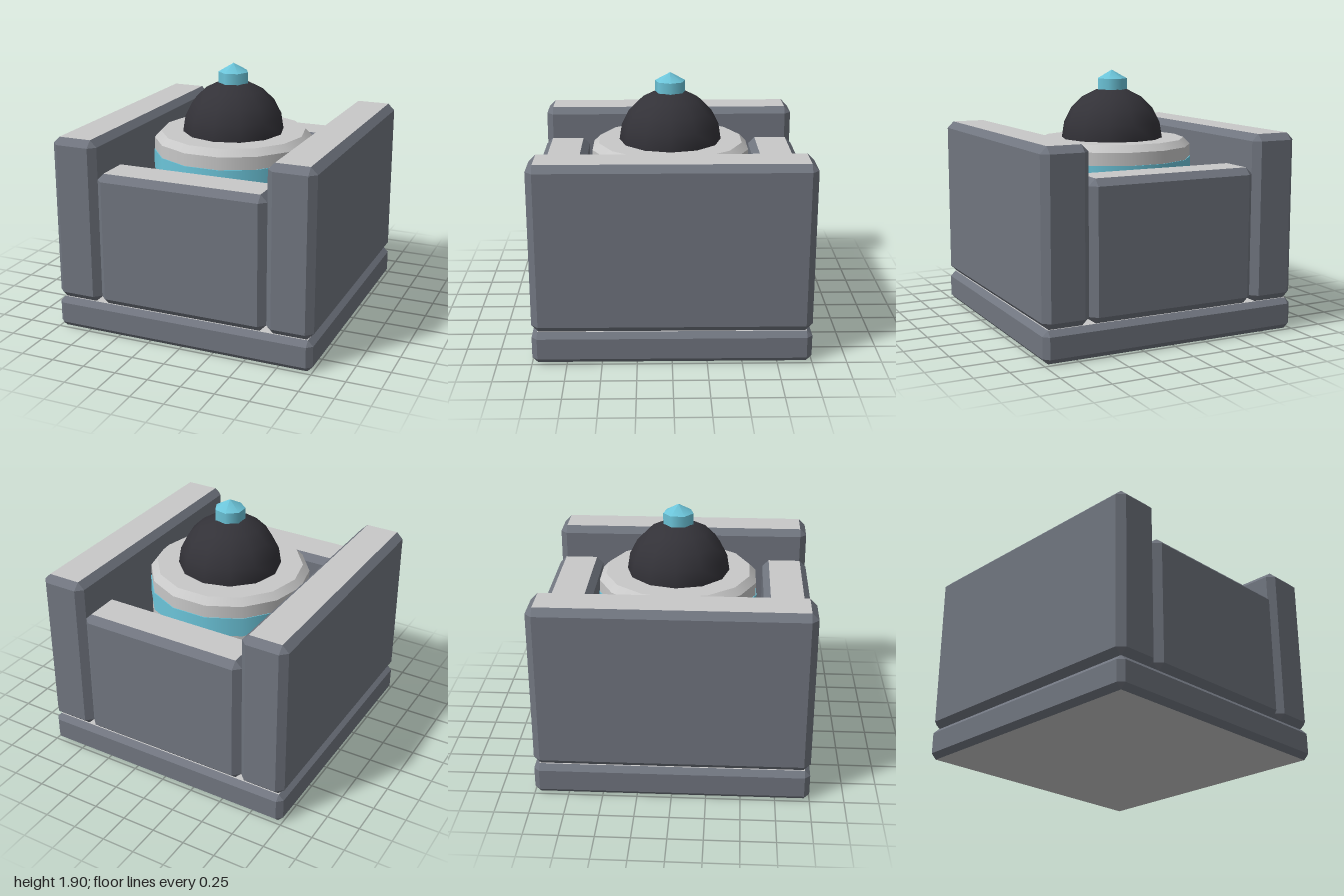
import * as THREE from 'three';

const paint = (name, color) => {
  const m = new THREE.MeshStandardMaterial({ color });
  m.name = name;
  return m;
};

export function createModel() {
  const grey = paint('slateGrey', 0x70757f);
  const light = paint('lightGrey', 0xc8c8c8);
  const cyan = paint('cyan', 0x6cc5da);
  const dark = paint('charcoal', 0x333238);
  const model = new THREE.Group();
  model.name = 'turretBlock';

  const add = (name, geometry, material, x = 0, y = 0, z = 0) => {
    const mesh = new THREE.Mesh(geometry, material);
    mesh.name = name;
    mesh.position.set(x, y, z);
    model.add(mesh);
    return mesh;
  };

  // Block chamfered on every edge, standing on y = 0: grey sides, light caps
  function chamferedBlock(width, height, depth, b) {
    const w = width / 2, d = depth / 2;
    const corners = [[1, 1], [1, -1], [-1, -1], [-1, 1]];
    const ring = (y, inset) => corners.flatMap(([sx, sz], i) => {
      const onX = [sx * (w - inset), y, sz * (d - b)];
      const onZ = [sx * (w - b), y, sz * (d - inset)];
      return i % 2 ? [onX, onZ] : [onZ, onX];
    });
    const rings = [ring(0, b), ring(b, 0), ring(height - b, 0), ring(height, b)];
    const pos = [];
    const tri = (...pts) => {
      const [p, q, r] = pts.map((v) => new THREE.Vector3(...v));
      if (q.sub(p).cross(r.sub(p)).length() > 1e-8) pos.push(...pts.flat());
    };
    for (let k = 0; k < 3; k++) {
      for (let i = 0; i < 8; i++) {
        const j = (i + 1) % 8, lo = rings[k], hi = rings[k + 1];
        tri(lo[i], lo[j], hi[j]);
        tri(lo[i], hi[j], hi[i]);
      }
    }
    const sideCount = pos.length / 3;
    const [bottom, top] = [rings[0], rings[3]];
    for (const [i, j] of [[2, 4], [4, 6]]) {
      tri(top[0], top[i], top[j]);
      tri(bottom[0], bottom[j], bottom[i]);
    }
    const g = new THREE.BufferGeometry();
    g.setAttribute('position', new THREE.Float32BufferAttribute(pos, 3));
    g.computeVertexNormals();
    g.addGroup(0, sideCount, 0);
    g.addGroup(sideCount, pos.length / 3 - sideCount, 1);
    return g;
  }

  // Base and surrounding walls
  const stone = [grey, light];
  add('baseSlab', chamferedBlock(2, 0.235, 2, 0.04), stone);
  for (const s of [1, -1]) {
    add(s > 0 ? 'leftWall' : 'rightWall', chamferedBlock(0.35, 1.235, 2, 0.05), stone, s * 0.825, 0.235, 0);
    add(s > 0 ? 'frontWall' : 'backWall', chamferedBlock(1.3, 1, 0.35, 0.05), stone, 0, 0.235, s * 0.825);
  }

  // Round section between two heights, with one corner pointing along +x
  const section = (name, material, rTop, rBottom, y0, y1, sides, open = true) => {
    const g = new THREE.CylinderGeometry(rTop, rBottom, y1 - y0, sides, 1, open);
    g.rotateY(Math.PI / 2);
    add(name, g, material, 0, (y0 + y1) / 2, 0);
  };

  // Drum with a chamfered rim and a coloured band
  section('drumBody', light, 0.6, 0.6, 0.235, 1.34, 14);
  section('drumRim', light, 0.55, 0.6, 1.34, 1.39, 14);
  const lid = new THREE.CircleGeometry(0.55, 14);
  lid.rotateX(-Math.PI / 2);
  add('drumLid', lid, light, 0, 1.39, 0);
  section('drumBand', cyan, 0.606, 0.606, 1.1, 1.245, 14, false);

  // Dome
  const dome = new THREE.SphereGeometry(0.385, 12, 5, 0, Math.PI * 2, 0, Math.PI / 2);
  add('dome', dome, dark, 0, 1.39, 0);

  // Pointed beacon on top
  section('beaconStem', cyan, 0.115, 0.115, 1.75, 1.84, 7, false);
  section('beaconTip', cyan, 0, 0.115, 1.84, 1.905, 7);

  return model;
}
